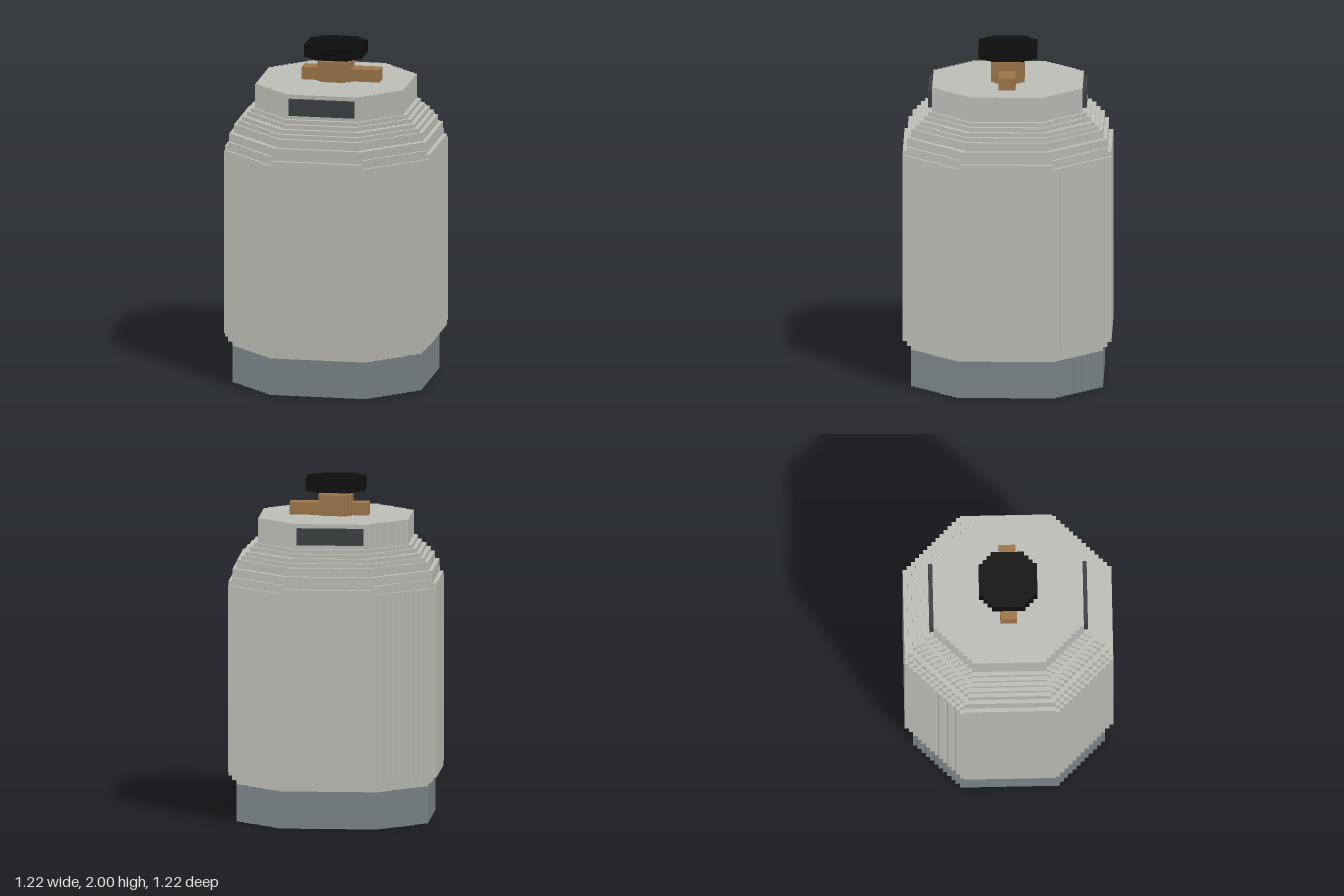
import * as THREE from 'three';

const V = 2 / 82; // size of one block

const mat = (name, color) => {
  const m = new THREE.MeshStandardMaterial({ color });
  m.name = name;
  return m;
};

// Octagon outline whose diagonal sides are one-block stairs.
// r: half width, f: half length of the straight sides (in blocks)
function steppedOctagon(r, f) {
  const quarter = [];
  for (let i = 0; i < r - f; i++) {
    quarter.push([r - i, f + i], [r - i, f + i + 1]);
  }
  quarter.push([f, r]);
  const points = [];
  for (let q = 0; q < 4; q++) {
    for (const [x, y] of quarter) {
      const p = [[x, y], [-y, x], [-x, -y], [y, -x]][q];
      points.push(new THREE.Vector2(p[0] * V, p[1] * V));
    }
  }
  return new THREE.Shape(points);
}

// One horizontal slab from block row y0 to y1
function slab(name, material, y0, y1, r, f) {
  const geo = new THREE.ExtrudeGeometry(steppedOctagon(r, f), {
    depth: (y1 - y0) * V, bevelEnabled: false,
  });
  geo.rotateX(-Math.PI / 2);
  geo.translate(0, y0 * V, 0);
  const mesh = new THREE.Mesh(geo, material);
  mesh.name = name;
  return mesh;
}

// Box given by its block limits
function block(name, material, x0, x1, y0, y1, z0, z1) {
  const geo = new THREE.BoxGeometry((x1 - x0) * V, (y1 - y0) * V, (z1 - z0) * V);
  geo.translate((x0 + x1) * V / 2, (y0 + y1) * V / 2, (z0 + z1) * V / 2);
  const mesh = new THREE.Mesh(geo, material);
  mesh.name = name;
  return mesh;
}

export function createModel() {
  const shell = mat('pale grey', 0xbfbfb9);
  const steel = mat('blue grey', 0x7d878b);
  const brass = mat('brass', 0x9f774a);
  const dark = mat('dark grey', 0x3c4142);
  const black = mat('black', 0x0d0d0d);

  const model = new THREE.Group();
  model.name = 'gasTank';

  // Foot ring
  model.add(slab('footRing', steel, 0, 9, 23, 11));

  // Tank: bottom row, top row, half width, straight half length
  const tank = new THREE.Group();
  tank.name = 'tank';
  const layers = [
    [9, 10, 23, 11], [10, 11, 24, 11], [11, 12, 25, 10],
    [12, 57, 25, 11],
    [57, 58, 25, 10], [58, 59, 24, 11], [59, 61, 24, 10],
    [61, 63, 23, 9], [63, 64, 22, 9], [64, 65, 21, 9],
    [65, 66, 20, 8], [66, 67, 19, 8],
    [67, 73, 18, 8],
  ];
  layers.forEach(([y0, y1, r, f], i) => {
    tank.add(slab(i === layers.length - 1 ? 'collar' : `tankLayer${i + 1}`, shell, y0, y1, r, f));
  });
  model.add(tank);

  // Hand grips on the front and back of the collar
  model.add(block('frontGrip', dark, -8, 8, 68, 72, 17, 19));
  model.add(block('backGrip', dark, -8, 8, 68, 72, -19, -17));

  // Valve with a longer outlet on one side
  const valve = new THREE.Group();
  valve.name = 'valve';
  valve.add(slab('valveHub', brass, 73, 78, 4, 2));
  valve.add(block('shortOutlet', brass, -8, -4, 73, 76, -2, 2));
  valve.add(block('longOutlet', brass, 4, 11, 73, 76, -2, 2));
  valve.add(block('valveStem', brass, -1, 1, 78, 79, -1, 1));
  valve.add(slab('valveKnob', black, 79, 82, 7, 3));
  model.add(valve);

  return model;
}
